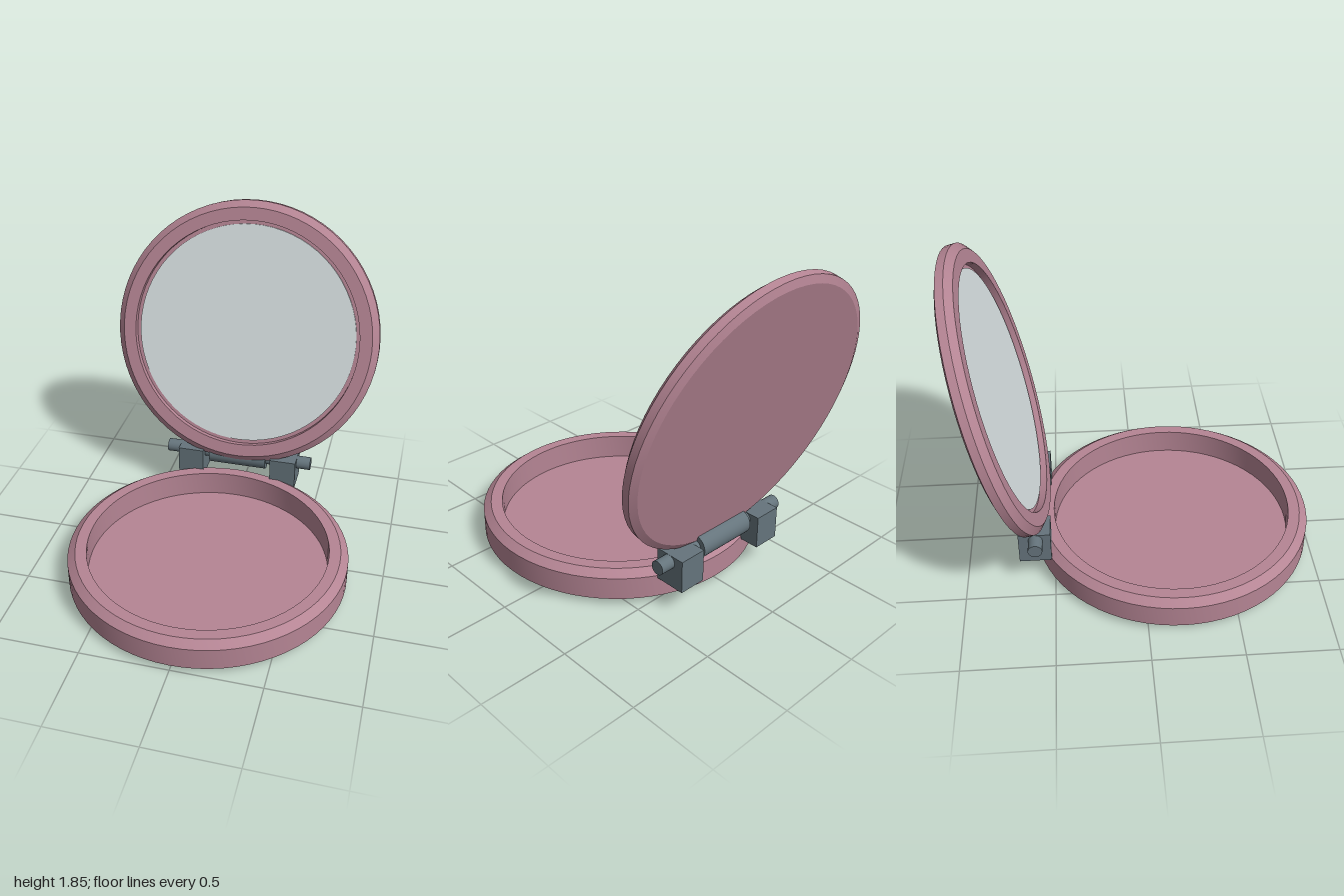
import * as THREE from 'three';
import { toCreasedNormals } from 'three/addons/utils/BufferGeometryUtils.js';

const pink = new THREE.MeshStandardMaterial({ color: 0xb58594 });
const steel = new THREE.MeshStandardMaterial({ color: 0x65747c });
const glass = new THREE.MeshStandardMaterial({ color: 0xd8e0e2 });

function add(parent, name, geometry, material, x = 0, y = 0, z = 0) {
  const mesh = new THREE.Mesh(geometry, material);
  mesh.name = name;
  mesh.position.set(x, y, z);
  parent.add(mesh);
  return mesh;
}

// Round shell turned from [radius, height] pairs, bevels kept crisp
function turned(profile) {
  const points = profile.map(([r, y]) => new THREE.Vector2(r, y));
  return toCreasedNormals(new THREE.LatheGeometry(points, 72), 0.4);
}

export function createModel() {
  const model = new THREE.Group();
  model.name = 'compactMirror';

  // Base tray with bevelled rims and a deep round recess
  add(model, 'baseTray', turned([
    [0, 0], [0.76, 0], [0.805, 0.035], [0.805, 0.165], [0.76, 0.2],
    [0.695, 0.2], [0.695, 0.05], [0, 0.05],
  ]), pink, 0, 0, 0.195);

  // Lid leaning back 15 degrees, carrying the mirror in a shallow recess
  const lid = new THREE.Group();
  lid.name = 'lid';
  lid.position.set(0, 1.058, -0.803);
  lid.rotation.x = THREE.MathUtils.degToRad(75);
  model.add(lid);
  add(lid, 'lidShell', turned([
    [0, 0], [0.765, 0], [0.805, 0.018], [0.805, 0.062], [0.765, 0.096],
    [0.69, 0.096], [0.69, 0.056], [0, 0.056],
  ]), pink);
  add(lid, 'mirror', new THREE.CylinderGeometry(0.667, 0.667, 0.02, 72), glass, 0, 0.056, 0);

  // Hinge: two blocks, a long pin and a thicker middle barrel
  const hinge = new THREE.Group();
  hinge.name = 'hinge';
  model.add(hinge);
  for (const side of [-1, 1]) {
    add(hinge, side > 0 ? 'leftHingeBlock' : 'rightHingeBlock',
      new THREE.BoxGeometry(0.16, 0.19, 0.18), steel, side * 0.295, 0.245, -0.605);
  }
  for (const [name, radius, length] of [['hingePin', 0.04, 0.92], ['hingeBarrel', 0.07, 0.36]]) {
    const rod = new THREE.CylinderGeometry(radius, radius, length, 32).rotateZ(Math.PI / 2);
    add(hinge, name, rod, steel, 0, 0.3, -0.6);
  }

  return model;
}
